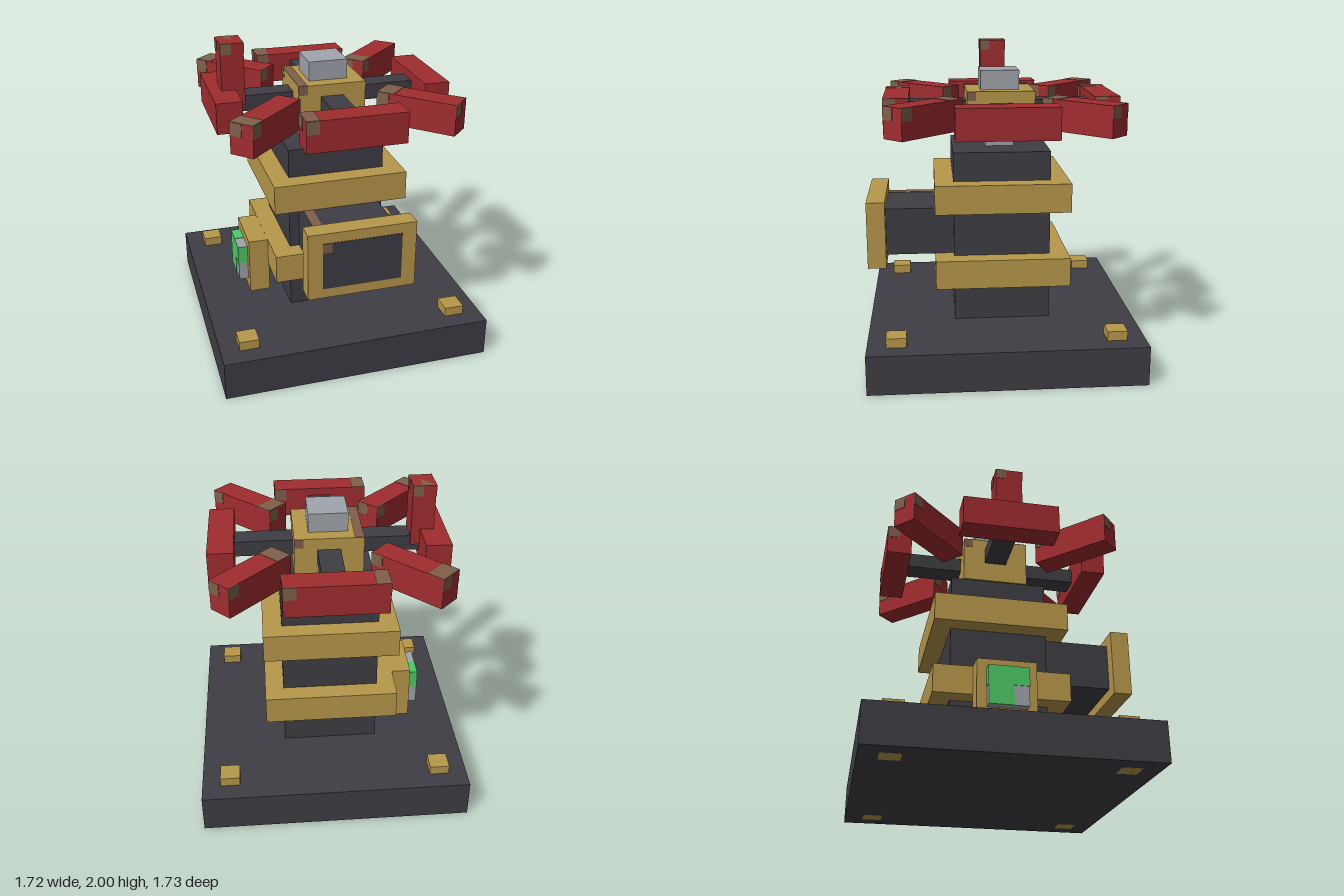
import * as THREE from 'three';

const material = (name, color) => {
  const m = new THREE.MeshStandardMaterial({ color });
  m.name = name;
  return m;
};

export function createModel() {
  const iron = material('dark iron', 0x3e3d44);
  const brass = material('brass', 0xb8984a);
  const red = material('red paint', 0xa02c30);
  const steel = material('steel', 0xa0a5ac);
  const green = material('green light', 0x4ccb66);
  const rust = material('rust', 0x80604a);

  const model = new THREE.Group();
  model.name = 'valve';

  // Box given by its [min, max] range on each axis
  function box(name, mat, [x0, x1], [y0, y1], [z0, z1], parent = model) {
    const mesh = new THREE.Mesh(new THREE.BoxGeometry(x1 - x0, y1 - y0, z1 - z0), mat);
    mesh.position.set((x0 + x1) / 2, (y0 + y1) / 2, (z0 + z1) / 2);
    mesh.name = name;
    parent.add(mesh);
    return mesh;
  }
  const half = (h) => [-h, h];
  const skin = (v) => [v - 0.003, v + 0.003];

  // Worn square at the upper left corner of each side face
  function wornCorners(parent, [x0, x1], y, [z0, z1], s) {
    const ys = [y - s, y];
    box('wornFront', rust, [x0, x0 + s], ys, skin(z1), parent);
    box('wornBack', rust, [x1 - s, x1], ys, skin(z0), parent);
    box('wornLeft', rust, skin(x1), ys, [z1 - s, z1], parent);
    box('wornRight', rust, skin(x0), ys, [z0, z0 + s], parent);
  }
  const wornTop = (parent, x, y, z, w) => box('wornTop', rust, [x, x + w], skin(y), z, parent);

  // Base with bolts running through its corners
  box('base', iron, half(0.86), [0, 0.25], half(0.86));
  for (const x of [-0.68, 0.68])
    for (const z of [-0.68, 0.68])
      box('bolt', brass, [x - 0.0625, x + 0.0625], [-0.001, 0.31], [z - 0.0625, z + 0.0625]);

  // Body and collars
  box('body', iron, half(0.31), [0.25, 1.36], half(0.31));
  box('lowerCollar', brass, half(0.43), [0.5, 0.685], half(0.43));
  box('upperCollar', brass, half(0.43), [0.99, 1.175], half(0.43));

  // Outlet pipe with flange
  const outlet = new THREE.Group();
  outlet.name = 'outlet';
  model.add(outlet);
  box('pipe', iron, half(0.247), [0.683, 0.988], [0.3, 0.866], outlet);
  box('flange', brass, half(0.337), [0.62, 1.053], [0.745, 0.863], outlet);
  wornTop(outlet, -0.247, 0.988, [0.43, 0.745], 0.06);
  box('wornFront', rust, [-0.247, -0.19], [0.928, 0.988], skin(0.866), outlet);

  // Stem, hub and nut
  box('stem', steel, half(0.093), [1.36, 1.42], half(0.093));
  box('hub', brass, half(0.215), [1.42, 1.73], half(0.215));
  wornTop(model, -0.215, 1.73, half(0.215), 0.058);
  wornCorners(model, half(0.215), 1.73, half(0.215), 0.058);
  box('nut', steel, half(0.124), [1.73, 1.853], half(0.124));

  // Handwheel spokes
  const wheel = new THREE.Group();
  wheel.name = 'handwheel';
  model.add(wheel);
  for (const s of [-1, 1]) {
    const reach = s < 0 ? [-0.6, -0.2] : [0.2, 0.6];
    box('spoke', iron, reach, [1.555, 1.655], half(0.072), wheel);
    box('spoke', iron, half(0.072), [1.555, 1.655], reach, wheel);
  }

  // Handwheel rim: straight blocks on the axes, radial blocks on the diagonals
  const rimY = [1.51, 1.705];
  function wornBlock(length, width, x, z, turn, strip) {
    const block = new THREE.Group();
    block.name = 'rimBlock';
    block.position.set(x, 0, z);
    block.rotation.y = turn;
    const xs = half(length / 2), zs = half(width / 2);
    box('rimBar', red, xs, rimY, zs, block);
    wornTop(block, xs[0], rimY[1], zs, strip);
    wornCorners(block, xs, rimY[1], zs, 0.08);
    wheel.add(block);
  }
  for (const s of [-1, 1]) {
    wornBlock(0.615, 0.16, 0, s * 0.66, 0, 0.083);
    box('rimBar', red, s < 0 ? [-0.742, -0.58] : [0.58, 0.742], rimY, half(0.308), wheel);
    for (const t of [-1, 1])
      wornBlock(0.515, 0.157, s * 0.48, t * 0.485, -s * t * Math.PI / 4, 0.11);
  }

  // Crank handle with a chipped top
  const handle = new THREE.Group();
  handle.name = 'handle';
  wheel.add(handle);
  const hx = [-0.667, -0.522], hz = half(0.087);
  box('grip', red, hx, [1.6, 1.998], hz, handle);
  wornCorners(handle, hx, 1.998, hz, 0.068);
  const chip = new THREE.Shape([[-0.667, 0.087], [-0.58, 0.087], [-0.58, -0.01]]
    .map(([x, y]) => new THREE.Vector2(x, y)));
  const chipMesh = new THREE.Mesh(new THREE.ShapeGeometry(chip), rust);
  chipMesh.name = 'wornTop';
  chipMesh.rotation.x = -Math.PI / 2;
  chipMesh.position.y = 2;
  handle.add(chipMesh);

  // Indicator on its bracket
  const indicator = new THREE.Group();
  indicator.name = 'indicator';
  model.add(indicator);
  const ix = [-0.617, -0.555], iy = [0.375, 0.62], iz = half(0.123);
  box('bracket', brass, [-0.557, -0.425], [0.31, 0.684], half(0.184), indicator);
  box('housing', steel, ix, iy, iz, indicator);
  box('lightFace', green, skin(ix[0]), iy, [iz[0], 0.03], indicator);
  box('lightFaceUpper', green, skin(ix[0]), [0.5, iy[1]], [0.03, iz[1]], indicator);
  box('lightTop', green, ix, skin(iy[1]), [iz[0], 0], indicator);
  for (const z of iz) box('lightSide', green, ix, [0.5, iy[1]], skin(z), indicator);

  return model;
}
